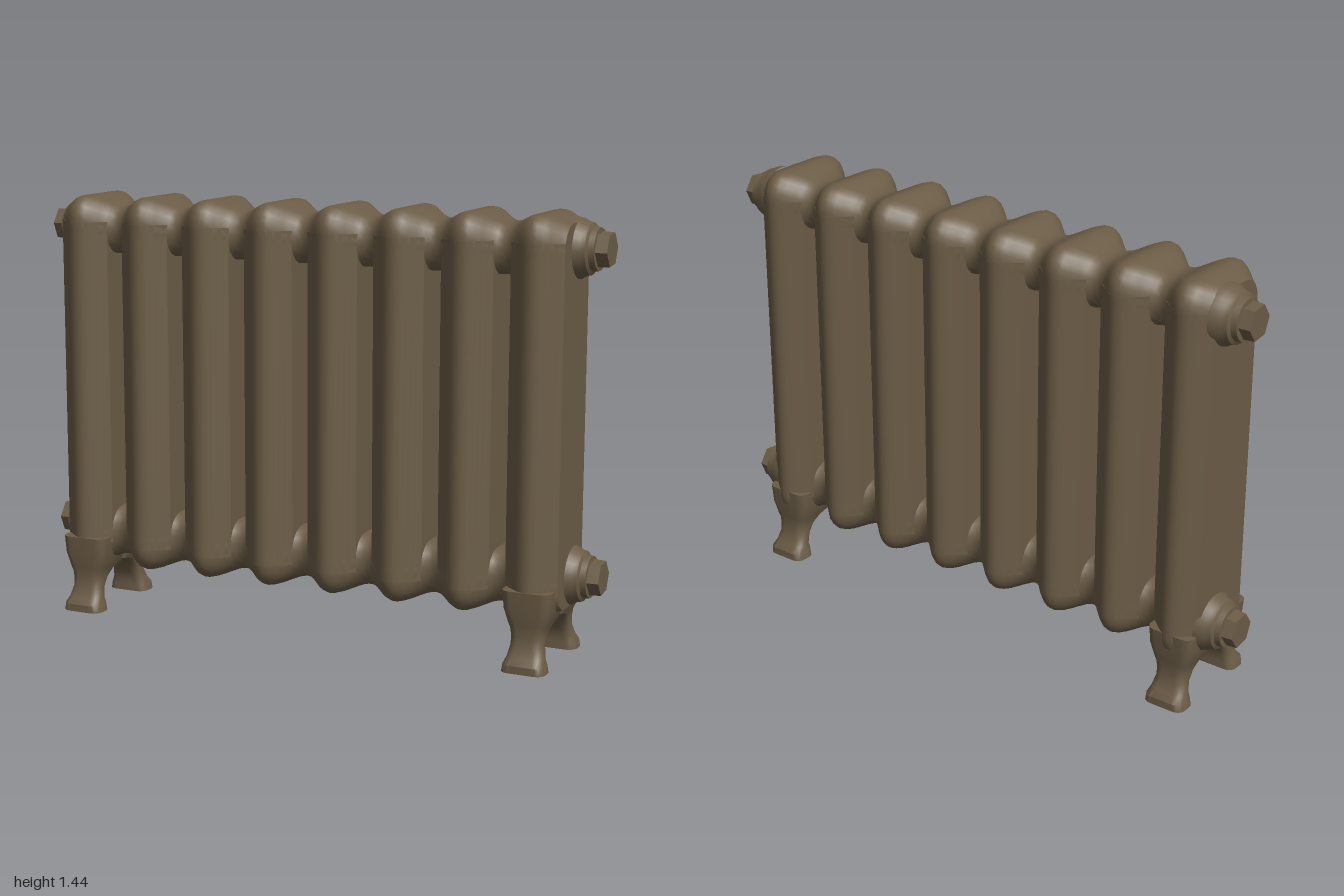
import * as THREE from 'three';
import { toCreasedNormals } from 'three/addons/utils/BufferGeometryUtils.js';

const COUNT = 8, PITCH = 0.232, HALF = 0.0875, ZC = -0.004;
const FIRST = -PITCH * (COUNT - 1) / 2, END = -FIRST + HALF;

// 1 at the middle of each section, -1 midway between two sections
const wave = x => Math.cos((x - FIRST) / PITCH * Math.PI * 2);
const halfDepth = x => 0.143 + 0.035 * wave(x);

// Closed skin through rings of equal length, capped at both ends
function loft(rings, crease = 0.7) {
  const n = rings[0].length, pos = [], idx = [];
  rings.forEach(r => r.forEach(p => pos.push(...p)));
  for (let i = 0; i < rings.length - 1; i++) {
    for (let j = 0; j < n; j++) {
      const a = i * n + j, b = i * n + (j + 1) % n;
      idx.push(a, b, a + n, b, b + n, a + n);
    }
  }
  const last = (rings.length - 1) * n;
  for (let j = 1; j < n - 1; j++) {
    idx.push(0, j + 1, j, last, last + j, last + j + 1);
  }
  // Turn the faces outward whichever way the rings were listed
  let volume = 0;
  const v = i => new THREE.Vector3().fromArray(pos, i * 3);
  for (let i = 0; i < idx.length; i += 3) {
    volume += v(idx[i]).dot(v(idx[i + 1]).cross(v(idx[i + 2])));
  }
  if (volume < 0) idx.reverse();
  const g = new THREE.BufferGeometry();
  g.setAttribute('position', new THREE.Float32BufferAttribute(pos, 3));
  g.setIndex(idx);
  return toCreasedNormals(g, crease);
}

// Outline of a rounded rectangle as [u, v] pairs
function roundedRect(hu, hv, r, steps = 5) {
  const out = [];
  [[1, 1], [-1, 1], [-1, -1], [1, -1]].forEach(([su, sv], q) => {
    for (let k = 0; k <= steps; k++) {
      const a = (q + k / steps) * Math.PI / 2;
      out.push([su * (hu - r) + r * Math.cos(a), sv * (hv - r) + r * Math.sin(a)]);
    }
  });
  return out;
}

// Wavy horizontal header running through all sections
function headerGeometry(yLow, yHigh) {
  const rings = [], steps = 96;
  for (let i = 0; i <= steps; i++) {
    const x = -END + 2 * END * i / steps;
    const lo = yLow(x), hi = yHigh(x);
    rings.push(roundedRect(halfDepth(x), (hi - lo) / 2, 0.075)
      .map(([z, y]) => [x, (lo + hi) / 2 + y, ZC + z]));
  }
  return loft(rings);
}

// Upright slab with bulging front and back edges
function columnGeometry() {
  const outline = [], steps = 12;
  for (const side of [1, -1]) {
    for (let i = 0; i <= steps; i++) {
      const x = side * HALF * (1 - 2 * i / steps);
      outline.push([x, ZC + side * halfDepth(FIRST + x)]);
    }
  }
  return loft([0.24, 1.355].map(y => outline.map(([x, z]) => [x, y, z])));
}

// Flared foot: [y, inner z, outer z, half width in x]
function legGeometry() {
  const rows = [
    [0, 0.115, 0.2, 0.073], [0.025, 0.115, 0.2, 0.069], [0.045, 0.115, 0.183, 0.062],
    [0.08, 0.1, 0.167, 0.055], [0.11, 0.078, 0.165, 0.054], [0.135, 0.045, 0.165, 0.058],
    [0.15, 0.0, 0.167, 0.064], [0.2, 0.0, 0.174, 0.078], [0.26, 0.0, 0.177, 0.082],
  ];
  return loft(rows.map(([y, zi, zo, hx]) =>
    roundedRect(hx, (zo - zi) / 2, 0.03).map(([x, z]) => [x, y, (zi + zo) / 2 + z])));
}

export function createModel() {
  const model = new THREE.Group();
  model.name = 'radiator';
  const iron = new THREE.MeshStandardMaterial({ color: 0x6b5c46 });
  iron.name = 'brown cast iron';

  const add = (parent, name, geometry, x = 0, y = 0, z = 0) => {
    const mesh = new THREE.Mesh(geometry, iron);
    mesh.name = name;
    mesh.position.set(x, y, z);
    parent.add(mesh);
    return mesh;
  };

  // Headers
  add(model, 'topHeader', headerGeometry(() => 1.243, x => 1.424 + 0.018 * wave(x)));
  add(model, 'bottomHeader', headerGeometry(x => 0.173 - 0.014 * wave(x), () => 0.36));

  // Columns
  const column = columnGeometry();
  for (let i = 0; i < COUNT; i++) add(model, 'column', column, FIRST + i * PITCH);

  // Feet under the two end sections
  const leg = legGeometry();
  for (const x of [FIRST, -FIRST]) {
    add(model, 'frontLeg', leg, x);
    add(model, 'backLeg', leg, x).rotation.y = Math.PI;
  }

  // Threaded bosses with hexagonal plugs at each end of both headers
  const profile = [[0.1, -0.02], [0.095, 0.005], [0.086, 0.02], [0.082, 0.037],
    [0.071, 0.043], [0.068, 0.062], [0, 0.064]].map(p => new THREE.Vector2(...p));
  const boss = toCreasedNormals(new THREE.LatheGeometry(profile, 28), 0.6);
  const plugLength = 1 - END - 0.05;
  const plug = toCreasedNormals(new THREE.CylinderGeometry(0.057, 0.06, plugLength, 6), 0.5);
  for (const side of [1, -1]) {
    for (const y of [1.327, 0.277]) {
      const fitting = new THREE.Group();
      fitting.name = side > 0 ? 'leftFitting' : 'rightFitting';
      add(fitting, 'boss', boss);
      add(fitting, 'hexPlug', plug, 0, 0.05 + plugLength / 2).rotation.y = 0.1;
      fitting.position.set(side * END, y, -0.042);
      fitting.rotation.z = -side * Math.PI / 2;
      model.add(fitting);
    }
  }
  return model;
}
